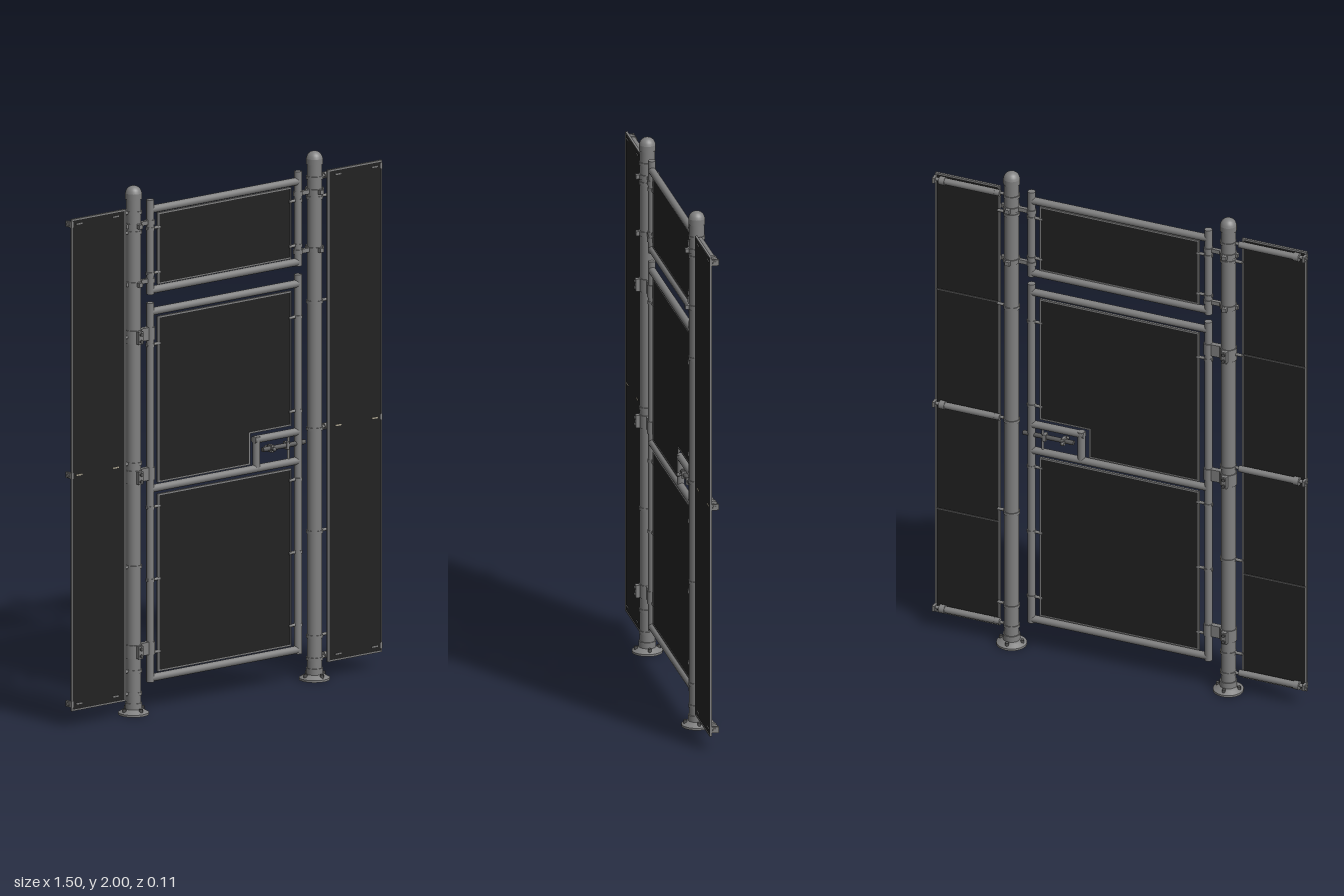
import * as THREE from 'three';

const mat = (name, color) => Object.assign(new THREE.MeshStandardMaterial({ color }), { name });

export function createModel() {
  const root = new THREE.Group();
  root.name = 'gate';
  const steel = mat('galvanised steel', 0x808080);
  const dark = mat('dark fittings', 0x585858);
  const infill = mat('black infill', 0x222222);
  const tie = mat('pale ties', 0xb0a894);

  const add = (name, geo, m, x = 0, y = 0, z = 0, parent = root) => {
    const mesh = new THREE.Mesh(geo, m);
    mesh.name = name;
    mesh.position.set(x, y, z);
    parent.add(mesh);
    return mesh;
  };
  const box = (name, w, h, d, x, y, z, m = steel, p = root) =>
    add(name, new THREE.BoxGeometry(w, h, d), m, x, y, z, p);
  // round bar between two points
  const bar = (name, a, b, r, m = steel, p = root, sides = 16) => {
    const A = new THREE.Vector3(...a), B = new THREE.Vector3(...b);
    const d = B.clone().sub(A);
    const mesh = add(name, new THREE.CylinderGeometry(r, r, d.length(), sides), m, 0, 0, 0, p);
    mesh.position.copy(A).add(B).multiplyScalar(0.5);
    mesh.quaternion.setFromUnitVectors(new THREE.Vector3(0, 1, 0), d.normalize());
    return mesh;
  };
  const band = (x, y, r, h, p = root, m = steel) =>
    bar('band', [x, y - h / 2, 0], [x, y + h / 2, 0], r, m, p, 20);

  // flat infill sheet with a thin steel edging, from an outline
  const sheet = (name, pts, z = 0) => {
    const t = 0.006;
    const shape = new THREE.Shape(pts.map(([x, y]) => new THREE.Vector2(x, y)));
    add(name, new THREE.ExtrudeGeometry(shape, { depth: t, bevelEnabled: false }), infill, 0, 0, z - t / 2);
    pts.forEach(([x, y], i) => {
      const [u, v] = pts[(i + 1) % pts.length];
      box(name + 'Edge', Math.abs(u - x) + 0.006, Math.abs(v - y) + 0.006, 0.009, (x + u) / 2, (y + v) / 2, z);
    });
  };
  const rect = (x0, x1, y0, y1) => [[x0, y0], [x1, y0], [x1, y1], [x0, y1]];

  // posts with flanged feet and domed caps
  const PX = 0.435, R = 0.028;
  const profile = [[0, 0], [0.057, 0], [0.057, 0.008], [0.04, 0.018], [0.032, 0.022], [0.032, 0.045], [R, 0.045],
    [R, 1.95], [0.031, 1.95], [0.031, 1.972]];
  for (let i = 1; i <= 6; i++) {
    const a = (i / 6) * Math.PI / 2;
    profile.push([0.03 * Math.cos(a), 1.972 + 0.028 * Math.sin(a)]);
  }
  // each straight run gets its own lathe so its edges stay sharp
  const lathe = (pts) => new THREE.LatheGeometry(pts.map(([x, y]) => new THREE.Vector2(Math.max(x, 0), y)), 28);
  for (const s of [-1, 1]) {
    const post = new THREE.Group();
    post.name = s > 0 ? 'leftPost' : 'rightPost';
    post.position.x = s * PX;
    root.add(post);
    for (let i = 0; i < 9; i++) add('post', lathe(profile.slice(i, i + 2)), steel, 0, 0, 0, post);
    add('cap', lathe(profile.slice(9)), steel, 0, 0, 0, post);
    for (let k = 0; k < 4; k++) {
      const a = k * Math.PI / 2;
      const x = Math.cos(a) * 0.043, z = Math.sin(a) * 0.043;
      bar('footBolt', [x, 0.008, z], [x, 0.026, z], 0.007, dark, post, 6);
    }
    // bands carrying the side screen
    for (const y of [1.9, 1.825, 1.43, 0.95, 0.56, 0.165, 0.08]) {
      band(0, y, 0.031, 0.012, post);
      bar('screenLug', [s * 0.025, y, 0], [s * 0.056, y, 0], 0.006, steel, post, 10);
    }
    // brackets that hold the fixed top frame
    for (const y of [1.85, 1.63]) {
      band(0, y, 0.032, 0.018, post);
      box('bracketLug', 0.018, 0.016, 0.088, 0, y, 0, steel, post);
      box('bracketArm', 0.07, 0.016, 0.014, -s * 0.06, y, 0, steel, post);
      box('bracketTail', 0.014, 0.016, 0.014, s * 0.033, y, 0, steel, post);
      band(-s * 0.08, y, 0.0175, 0.018, post);
    }
  }

  // hinges
  for (const y of [1.43, 0.9, 0.24]) {
    band(-PX, y, 0.032, 0.05);
    box('hingePlate', 0.066, 0.048, 0.02, -0.375, y, 0);
    band(-0.355, y, 0.018, 0.048);
    for (const z of [-1, 1]) {
      box('hingeLug', 0.022, 0.048, 0.018, -PX, y, z * 0.036);
      for (const dy of [-0.013, 0.013])
        bar('hingeBolt', [-PX, y + dy, z * 0.04], [-PX, y + dy, z * 0.05], 0.007, dark, root, 6);
    }
  }

  // gate frames
  const FX = 0.355, FR = 0.0145;
  const frame = (name, y0, y1, rails) => {
    for (const s of [-1, 1]) {
      bar(name + 'Stile', [s * FX, y0, 0], [s * FX, y1, 0], FR);
    }
    for (const y of rails) bar(name + 'Rail', [-FX, y, 0], [FX, y, 0], FR);
  };
  frame('topFrame', 1.577, 1.935, [1.897, 1.592]);
  frame('leaf', 0.11, 1.545, [1.51, 0.84, 0.125]);

  // gate infill
  const L = -0.317, Q = 0.318;
  sheet('topInfill', rect(L, Q, 1.612, 1.877));
  sheet('lowerInfill', rect(L, Q, 0.147, 0.813));
  sheet('upperInfill', [[L, 0.862], [0.12, 0.862], [0.12, 0.98], [Q, 0.98], [Q, 1.485], [L, 1.485]]);

  // clips between stiles and infill
  for (const y of [1.825, 1.655, 1.385, 1.03, 0.77, 0.495, 0.22])
    for (const s of [-1, 1]) {
      if (s < 0 && y === 1.03) continue;
      band(s * FX, y, 0.0165, 0.012);
      bar('clip', [s * 0.373, y, 0], [s * 0.31, y, 0], 0.006, steel, root, 10);
    }

  // lock recess, sliding latch and handle
  bar('lockUpright', [0.155, 0.84, 0], [0.155, 0.962, 0], FR);
  bar('lockRail', [0.142, 0.95, 0], [FX, 0.95, 0], FR);
  bar('latchBolt', [0.185, 0.906, 0], [0.388, 0.906, 0], 0.009, dark);
  for (const x of [0.225, 0.3]) box('latchGuide', 0.012, 0.028, 0.024, x, 0.906, 0);
  bar('latchHandle', [0.222, 0.906, -0.026], [0.222, 0.906, 0.026], 0.005, dark);
  for (const z of [-0.024, 0.024]) add('latchKnob', new THREE.SphereGeometry(0.008, 12, 8), dark, 0.222, 0.906, z);
  bar('latchStay', [0.31, 0.84, 0], [0.31, 0.95, 0], 0.005);

  // side screens on three rails each
  for (const s of [-1, 1]) {
    const x0 = s > 0 ? 0.489 : -0.743, x1 = s > 0 ? 0.743 : -0.489;
    sheet('sideScreen', rect(x0, x1, 0.063, 1.918), 0.013);
    for (const y of [1.9, 0.95, 0.085]) {
      bar('screenRail', [s * 0.5, y, -0.003], [s * 0.722, y, -0.003], 0.013);
      bar('railCollar', [s * 0.7, y, -0.003], [s * 0.722, y, -0.003], 0.0165);
      bar('railSocket', [s * 0.48, y, -0.003], [s * 0.508, y, -0.003], 0.0125);
      bar('railPin', [s * 0.72, y, 0], [s * 0.752, y, 0], 0.007);
      box('railEnd', 0.01, 0.022, 0.034, s * 0.743, y, 0);
      for (const x of [0.535, 0.71])
        box('screenTie', 0.028, 0.005, 0.003, s * x, y, 0.017, y === 0.95 ? tie : steel);
    }
    // seams across the rear of the screen
    for (const y of [1.43, 0.5]) box('screenSeam', 0.25, 0.005, 0.004, s * 0.616, y, 0.009, dark);
  }
  return root;
}
